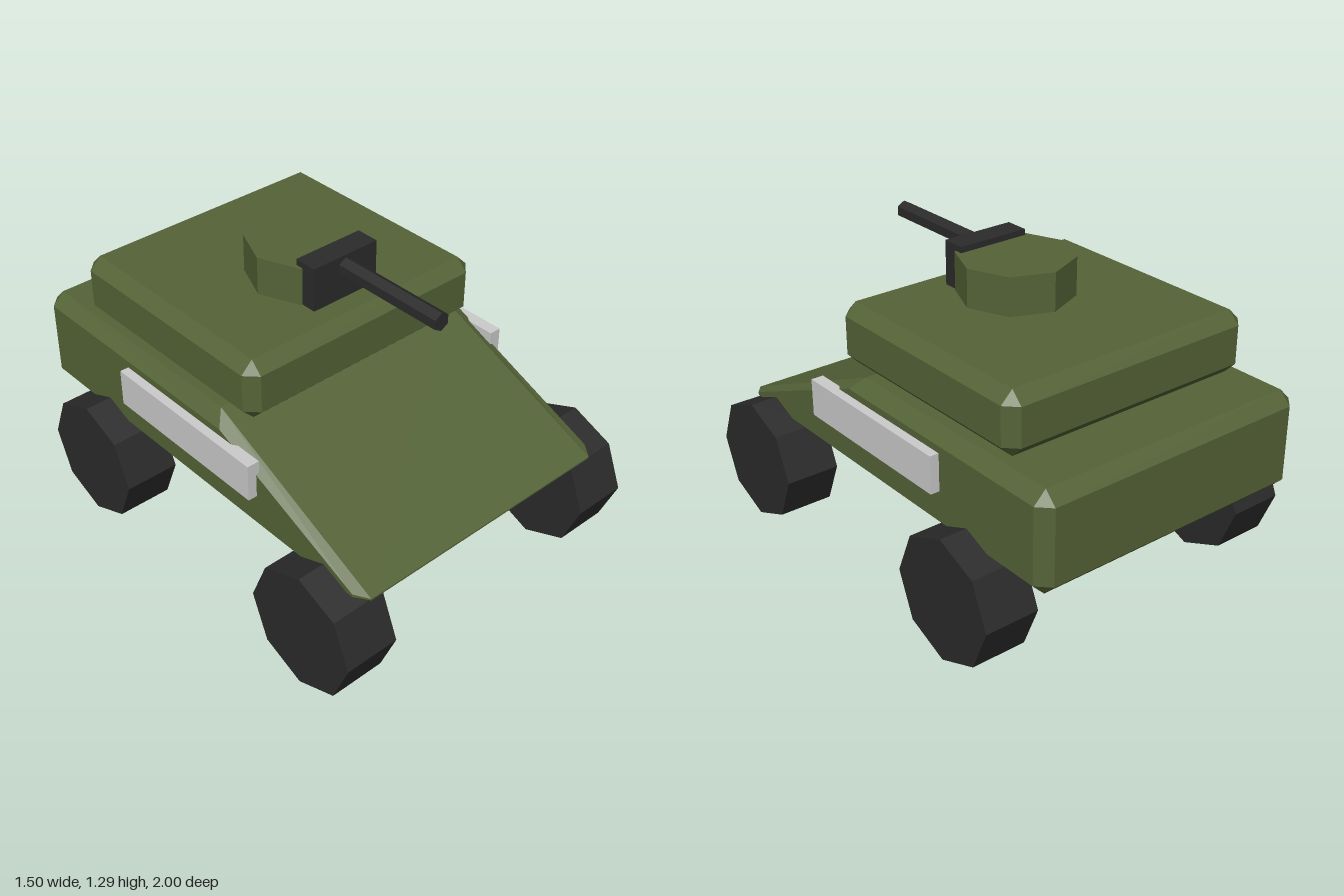
import * as THREE from 'three';

const paint = (color) => new THREE.MeshStandardMaterial({ color, flatShading: true, side: THREE.DoubleSide });

// Closed faceted solid from half sections (x > 0, bottom to top), mirrored in x and ordered back to front
function loft(halves) {
  const rings = halves.map((half) => [...half, ...half.map(([x, y, z]) => [-x, y, z]).reverse()]);
  const out = [];
  const tri = (...pts) => {
    const [a, b, c] = pts.map((p) => new THREE.Vector3(...p));
    if (b.clone().sub(a).cross(c.clone().sub(a)).length() > 1e-7) pts.forEach((p) => out.push(...p));
  };
  const n = rings[0].length;
  for (let i = 0; i < rings.length - 1; i++) {
    for (let j = 0; j < n; j++) {
      const k = (j + 1) % n;
      const a = rings[i][j], b = rings[i][k], c = rings[i + 1][k], d = rings[i + 1][j];
      tri(a, b, c);
      tri(a, c, d);
    }
  }
  const back = rings[0], front = rings[rings.length - 1];
  for (let j = 1; j < n - 1; j++) {
    tri(back[0], back[j + 1], back[j]);
    tri(front[0], front[j], front[j + 1]);
  }
  const geometry = new THREE.BufferGeometry();
  geometry.setAttribute('position', new THREE.Float32BufferAttribute(out, 3));
  geometry.computeVertexNormals();
  return geometry;
}

// Half sections of a box with chamfered edges
const fullSection = (x, y0, y1, z, c) => [[x - c, y0, z], [x, y0 + c, z], [x, y1 - c, z], [x - c, y1, z]];
const endSection = (x, y0, y1, z, c) =>
  [[x - c, y0 + c, z], [x - c, y0 + c, z], [x - c, y1 - c, z], [x - c, y1 - c, z]];

export function createModel() {
  const model = new THREE.Group();
  const green = paint(0x556337);
  const dark = paint(0x2b2b2b);
  const grey = paint(0xcccccc);

  const add = (name, geometry, material, x = 0, y = 0, z = 0) => {
    const mesh = new THREE.Mesh(geometry, material);
    mesh.name = name;
    mesh.position.set(x, y, z);
    model.add(mesh);
    return mesh;
  };

  // Hull: chamfered box whose front top slopes down to a thin nose
  add('hull', loft([
    endSection(0.63, 0.425, 0.845, -1, 0.052),
    fullSection(0.63, 0.425, 0.845, -0.948, 0.052),
    [[0.58, 0.425, 0.11], [0.63, 0.475, 0.11], [0.63, 0.793, 0.16], [0.58, 0.845, 0.11]],
    [[0.58, 0.425, 0.895], [0.63, 0.475, 0.89], [0.63, 0.488, 0.89], [0.59, 0.48, 0.945]],
    [[0.59, 0.473, 0.945], [0.59, 0.473, 0.945], [0.59, 0.48, 0.945], [0.59, 0.48, 0.945]],
  ]), green);

  // Upper superstructure
  add('upperBody', loft([
    endSection(0.578, 0.845, 1.105, -0.76, 0.05),
    fullSection(0.578, 0.845, 1.105, -0.71, 0.05),
    fullSection(0.578, 0.845, 1.105, 0.238, 0.05),
    endSection(0.578, 0.845, 1.105, 0.288, 0.05),
  ]), green);

  // Turret with gun
  add('turret', new THREE.CylinderGeometry(0.236, 0.236, 0.16, 8), green, 0, 1.185, -0.08);
  add('gunMount', new THREE.BoxGeometry(0.316, 0.185, 0.1), dark, 0, 1.1975, 0.106);
  add('gunBarrel', new THREE.CylinderGeometry(0.038, 0.038, 0.53, 6), dark, 0, 1.24, 0.392)
    .rotation.x = Math.PI / 2;

  // Side panels and wheels
  for (const [side, s] of [['left', 1], ['right', -1]]) {
    add(side + 'SidePanel', new THREE.BoxGeometry(0.053, 0.158, 0.79), grey, s * 0.642, 0.685, -0.025);
    for (const [end, z] of [['Front', 0.738], ['Rear', -0.578]]) {
      add(side + end + 'Wheel', new THREE.CylinderGeometry(0.262, 0.262, 0.236, 8), dark, s * 0.63, 0.264, z)
        .rotation.z = Math.PI / 2;
    }
  }
  return model;
}
